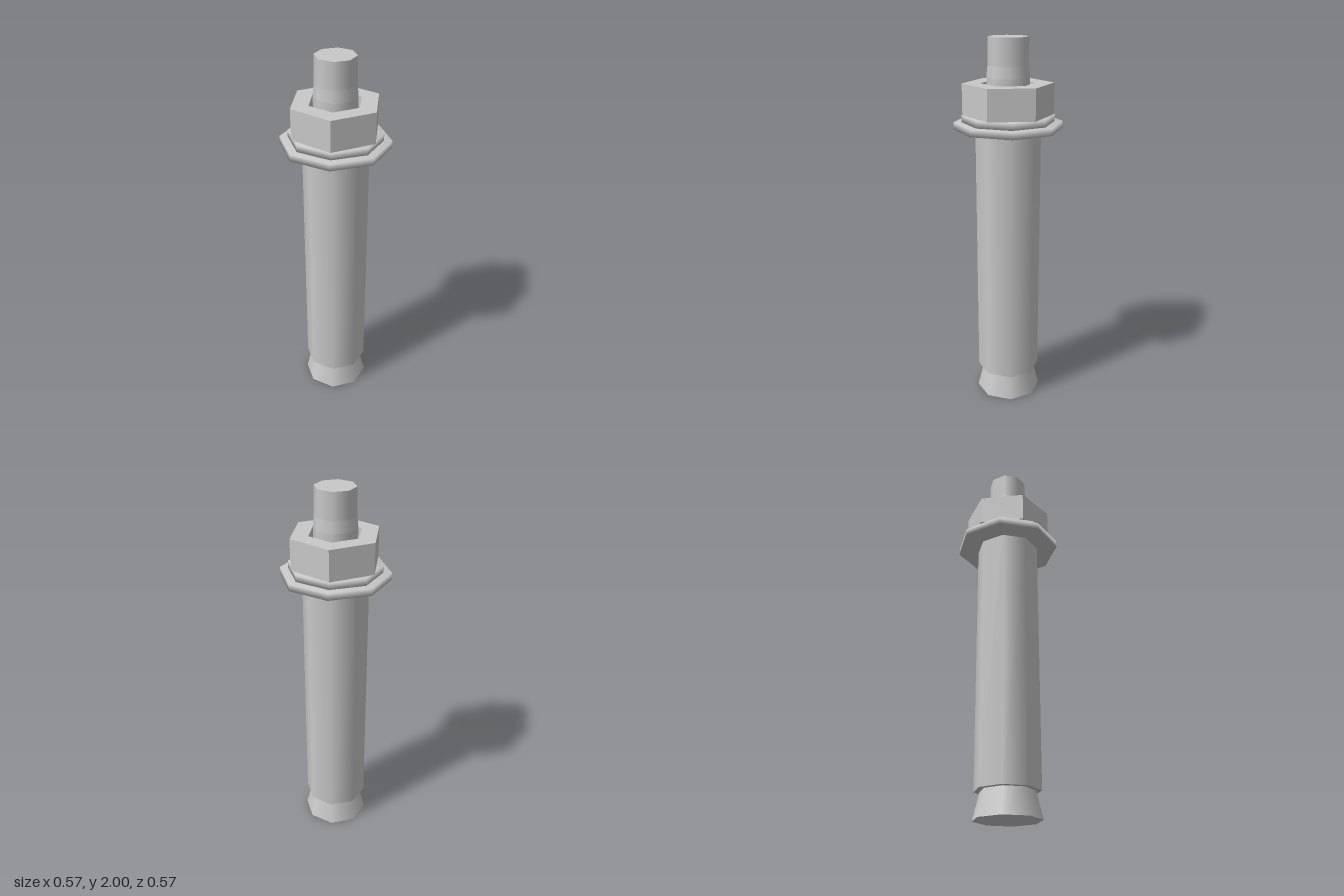
import * as THREE from 'three';

// Expansion anchor bolt: tapered cone, sleeve, two washers, hex nut and stud.
export function createModel() {
  const model = new THREE.Group();
  model.name = 'anchorBolt';
  const steel = new THREE.MeshStandardMaterial({ color: 0xc8c8c8 });
  steel.name = 'steel';

  const add = (name, geometry) => {
    const mesh = new THREE.Mesh(geometry, steel);
    mesh.name = name;
    model.add(mesh);
    return mesh;
  };

  // Eight-sided shaft between two heights, corners on the axes
  const shaft = (name, rTop, rBottom, y0, y1, openEnded = false) =>
    add(name, new THREE.CylinderGeometry(rTop, rBottom, y1 - y0, 8, 1, openEnded)).position.y = (y0 + y1) / 2;

  // Eight-sided ring with a softly shaded rim
  const ring = (name, rIn, rOut, y0, y1) => {
    const profile = [[rIn, y1], [rIn, y0], [rOut, y0], [rOut, y1], [rIn, y1]];
    return add(name, new THREE.LatheGeometry(profile.map(([r, y]) => new THREE.Vector2(r, y)), 8));
  };

  // Spreading cone, with the stud running up through it
  shaft('expansionCone', 0.14, 0.178, 0, 0.15);
  shaft('studBody', 0.112, 0.112, 0.15, 1.8, true);
  shaft('studTaper', 0.106, 0.112, 1.8, 1.86, true);
  shaft('studTip', 0.105, 0.106, 1.86, 2);

  // Sleeve around the stud
  shaft('sleeve', 0.172, 0.172, 0.142, 1.54);

  // Flat washer and lock washer
  ring('flatWasher', 0.13, 0.285, 1.535, 1.572);
  ring('lockWasher', 0.13, 0.243, 1.572, 1.608);

  // Hex nut with a hexagonal bore, corners pointing to front and back
  const hexagon = (r) => Array.from({ length: 6 }, (_, i) => {
    const a = Math.PI / 2 + i * Math.PI / 3;
    return new THREE.Vector2(r * Math.cos(a), r * Math.sin(a));
  });
  const nutShape = new THREE.Shape(hexagon(0.238));
  nutShape.holes.push(new THREE.Path(hexagon(0.142)));
  const nutGeometry = new THREE.ExtrudeGeometry(nutShape, { depth: 0.162, bevelEnabled: false });
  nutGeometry.rotateX(-Math.PI / 2);
  add('hexNut', nutGeometry).position.y = 1.608;

  return model;
}
